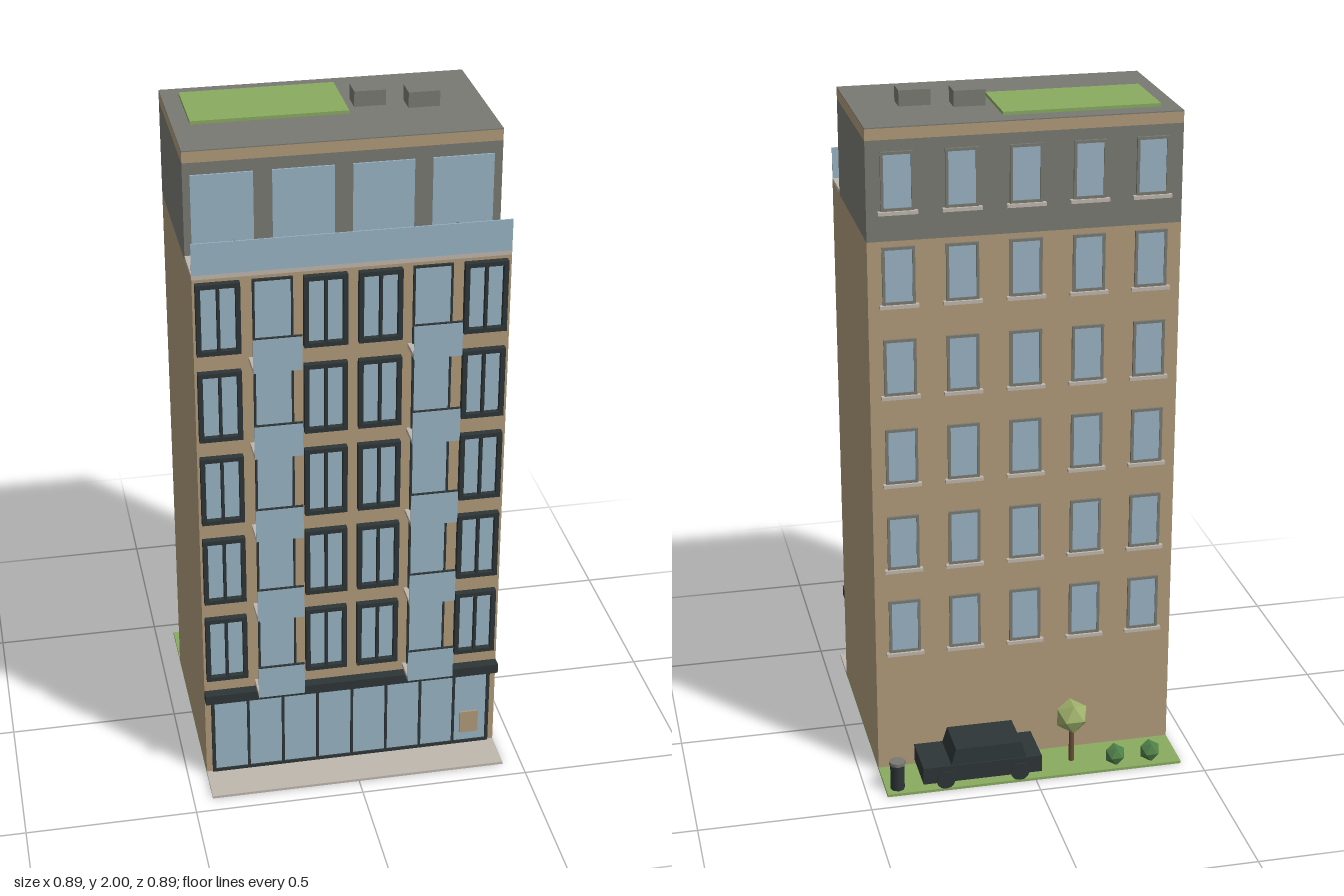
import * as THREE from 'three';

const mat = (name, color) => {
  const m = new THREE.MeshStandardMaterial({ color });
  m.name = name;
  return m;
};

export function createModel() {
  const wall = mat('tan wall', 0xb09a7a);
  const grey = mat('roof grey', 0x7a7a74);
  const dark = mat('dark metal', 0x2e3638);
  const glass = mat('glass', 0x9ab4c4);
  const stone = mat('pale stone', 0xc0b8ae);
  const lawn = mat('lawn', 0x8aab60);
  const bushGreen = mat('bush green', 0x4f8048);
  const leaf = mat('tree leaf', 0x9db06a);
  const bark = mat('bark', 0x6b5038);

  const model = new THREE.Group();
  model.name = 'apartmentBuilding';

  const add = (name, geo, material, x = 0, y = 0, z = 0, parent = model) => {
    const m = new THREE.Mesh(geo, material);
    m.name = name;
    m.position.set(x, y, z);
    parent.add(m);
    return m;
  };
  // Box given by its min and max on each axis
  const box = (name, material, [x0, x1], [y0, y1], [z0, z1], parent = model) =>
    add(name, new THREE.BoxGeometry(x1 - x0, y1 - y0, z1 - z0), material,
      (x0 + x1) / 2, (y0 + y1) / 2, (z0 + z1) / 2, parent);

  // Frame standing on y = 0, centred on x, with equal panes cut out
  const frameGeo = (w, h, border, mullion, panes, depth) => {
    const s = new THREE.Shape();
    s.moveTo(-w / 2, 0).lineTo(w / 2, 0).lineTo(w / 2, h).lineTo(-w / 2, h).closePath();
    const pw = (w - 2 * border - (panes - 1) * mullion) / panes;
    for (let i = 0; i < panes; i++) {
      const a = -w / 2 + border + i * (pw + mullion);
      const p = new THREE.Path();
      p.moveTo(a, border).lineTo(a, h - border).lineTo(a + pw, h - border).lineTo(a + pw, border).closePath();
      s.holes.push(p);
    }
    return new THREE.ExtrudeGeometry(s, { depth, bevelEnabled: false });
  };
  const makeWindow = (name, w, h, frame, frameMat) => {
    const g = new THREE.Group();
    g.name = name;
    add('windowFrame', frame, frameMat, 0, 0, 0, g);
    box('windowGlass', glass, [-w / 2 + 0.002, w / 2 - 0.002], [0.002, h - 0.002], [0, 0.004], g);
    return g;
  };
  const place = (g, x, y, z) => {
    g.position.set(x, y, z);
    model.add(g);
    return g;
  };

  const W = 0.443, FRONT = 0.322, BACK = -0.285, SETBACK = 0.19, STEP = 0.267;

  // Ground
  box('lawn', lawn, [-W, W], [0, 0.008], [-0.443, FRONT]);
  box('pavement', stone, [-W, W], [0, 0.008], [FRONT, 0.445]);

  // Main volume, terrace and set-back top floor
  box('mainBlock', wall, [-W, W], [0.008, 1.637], [BACK, FRONT]);
  box('terraceDeck', stone, [-W, W], [1.637, 1.65], [SETBACK, FRONT]);
  box('penthouse', grey, [-W, W], [1.637, 1.92], [BACK, SETBACK]);
  box('roofBand', wall, [-W, W], [1.92, 1.952], [BACK, SETBACK]);
  box('roof', grey, [-W, W], [1.952, 1.955], [BACK, SETBACK]);
  box('greenRoof', lawn, [-0.393, 0.052], [1.955, 1.964], [-0.23, 0]);
  box('roofUnit', grey, [0.075, 0.165], [1.955, 2], [-0.113, -0.046]);
  box('roofUnit', grey, [0.222, 0.312], [1.955, 2], [-0.075, -0.01]);
  box('terraceGlass', glass, [-W, W], [1.65, 1.742], [FRONT - 0.004, FRONT]);

  // Penthouse front glazing
  for (const x of [-0.337, -0.113, 0.11, 0.333])
    box('penthouseWindow', glass, [x - 0.086, x + 0.086], [1.67, 1.885], [SETBACK, SETBACK + 0.005]);

  // Shopfront and canopy
  add('shopFrame', frameGeo(0.85, 0.262, 0.01, 0.008, 8, 0.008), dark, 0, 0.01, FRONT);
  box('shopGlass', glass, [-0.42, 0.42], [0.015, 0.27], [FRONT, FRONT + 0.004]);
  box('shopSign', wall, [0.335, 0.392], [0.05, 0.125], [FRONT + 0.004, FRONT + 0.01]);
  box('canopy', dark, [-W, W], [0.272, 0.302], [FRONT, 0.353]);

  // Front windows, doors and balconies
  const windowFrame = frameGeo(0.122, 0.213, 0.013, 0.008, 2, 0.02);
  const doorFrame = frameGeo(0.112, 0.24, 0.006, 0, 1, 0.008);
  for (let i = 0; i < 5; i++) {
    const y = 0.347 + i * STEP;
    for (const x of [-0.375, -0.079, 0.074, 0.37])
      place(makeWindow('frontWindow', 0.122, 0.213, windowFrame, dark), x, y, FRONT);
    for (const x of [-0.224, 0.222]) {
      place(makeWindow('balconyDoor', 0.112, 0.24, doorFrame, dark), x, y - 0.027, FRONT);
      const b = new THREE.Group();
      b.name = 'balcony';
      box('balconySlab', stone, [-0.068, 0.068], [-0.034, -0.022], [0, 0.078], b);
      box('balconyGlass', glass, [-0.068, 0.068], [-0.034, 0.068], [0.074, 0.079], b);
      box('balconyRail', dark, [-0.068, 0.068], [0.068, 0.071], [0.073, 0.08], b);
      place(b, x, y, FRONT);
    }
  }

  // Rear windows with sills
  const rearFrame = frameGeo(0.092, 0.165, 0.008, 0, 1, 0.007);
  for (let i = 0; i < 6; i++)
    for (const x of [-0.357, -0.179, 0, 0.179, 0.357]) {
      const g = makeWindow('rearWindow', 0.092, 0.165, rearFrame, grey);
      box('rearSill', stone, [-0.055, 0.055], [-0.01, 0], [0, 0.014], g);
      g.rotation.y = Math.PI;
      place(g, x, 0.388 + i * STEP, BACK);
    }

  // Bushes on the terrace and the lawn
  const ball = (name, r, material, x, y, z) => {
    const m = add(name, new THREE.IcosahedronGeometry(r, 0), material, x, y, z);
    m.rotation.y = Math.PI / 2;
  };
  for (const x of [-0.312, 0, 0.31]) ball('terraceBush', 0.033, bushGreen, x, 1.678, 0.248);
  for (const x of [-0.357, -0.25]) ball('lawnBush', 0.033, bushGreen, x, 0.034, -0.405);

  // Tree
  add('treeTrunk', new THREE.CylinderGeometry(0.007, 0.009, 0.13, 6), bark, -0.126, 0.07, -0.365);
  ball('treeCrown', 0.052, leaf, -0.126, 0.157, -0.365);

  // Bin
  add('binBody', new THREE.CylinderGeometry(0.021, 0.021, 0.08, 8), dark, 0.408, 0.048, -0.41);
  add('binLid', new THREE.CylinderGeometry(0.024, 0.024, 0.01, 8), grey, 0.408, 0.093, -0.41);

  // Parked car
  const car = new THREE.Group();
  car.name = 'car';
  model.add(car);
  box('carBody', dark, [-0.018, 0.336], [0.026, 0.078], [-0.439, -0.292], car);
  const cabin = new THREE.BoxGeometry(0.225, 0.05, 0.14);
  const p = cabin.attributes.position;
  for (let i = 0; i < p.count; i++)
    if (p.getY(i) > 0) p.setXYZ(i, p.getX(i) * 0.87, p.getY(i), p.getZ(i) * 0.95);
  cabin.computeVertexNormals();
  add('carCabin', cabin, dark, 0.14, 0.102, -0.3655, car);
  for (const x of [0.048, 0.27])
    for (const z of [-0.433, -0.298]) {
      const wheel = add('carWheel', new THREE.CylinderGeometry(0.028, 0.028, 0.02, 12), dark, x, 0.034, z, car);
      wheel.rotation.x = Math.PI / 2;
    }

  return model;
}
